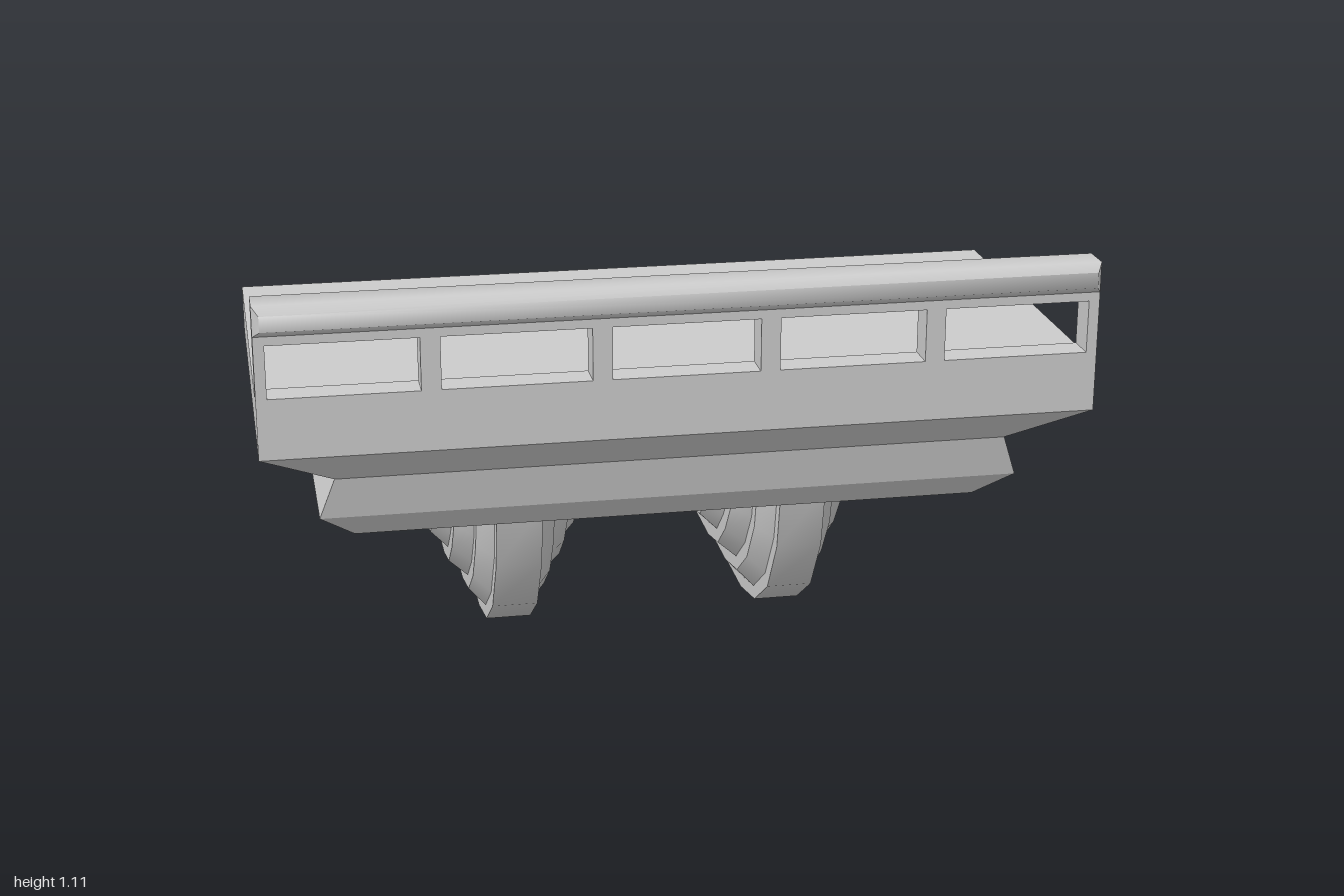
import * as THREE from 'three';
import { toCreasedNormals } from 'three/addons/utils/BufferGeometryUtils.js';

const BACK = -0.512;
const SLAB_TOP = 0.86;
const SOFFIT = 0.455;

// Joins successive rings of [x, y, z] points with quads.
function loft(rings, closed, crease) {
  const pos = [];
  const tri = (...pts) => pts.forEach((p) => pos.push(...p));
  const n = rings[0].length;
  for (let r = 0; r < rings.length - 1; r++) {
    const a = rings[r], b = rings[r + 1];
    for (let i = 0; i < (closed ? n : n - 1); i++) {
      const j = (i + 1) % n;
      tri(a[i], a[j], b[j]);
      tri(a[i], b[j], b[i]);
    }
  }
  if (closed) {
    const a = rings[0], b = rings[rings.length - 1];
    for (let i = 1; i < n - 1; i++) {
      tri(a[0], a[i + 1], a[i]);
      tri(b[0], b[i], b[i + 1]);
    }
  }
  const geo = new THREE.BufferGeometry();
  geo.setAttribute('position', new THREE.Float32BufferAttribute(pos, 3));
  geo.computeVertexNormals();
  return toCreasedNormals(geo, crease);
}

// Solid of stacked rectangles: each level is [height, half width, near z, far z].
function stackedRects(levels, crease) {
  return loft(levels.map(([y, x, z1, z0]) =>
    [[x, y, z1], [x, y, z0], [-x, y, z0], [-x, y, z1]]), true, crease);
}

// Half cross-section of a corbel: [half width, depth fraction], narrow nose to wide body.
const STEPS = [[0.19, 1], [0.147, 0.82], [0.147, 0.665], [0.1, 0.495],
  [0.1, 0.343], [0.058, 0.15], [0.058, 0]];
// Outer and inner curves of the corbel as [z, y].
const OUTER = [[0.176, SOFFIT], [0.141, 0.29], [0.041, 0.138], [-0.109, 0.038], [-0.285, 0], [BACK, 0]];
const INNER = [[-0.059, SOFFIT], [-0.085, 0.376], [-0.137, 0.322], [-0.203, 0.256], [-0.309, 0.233], [BACK, 0.233]];

// Stepped shell swept down and back to the wall, open at the back.
function corbelGeometry() {
  const rings = OUTER.map(([zo, yo], s) => {
    const [zi, yi] = INNER[s];
    const half = [[0.19, SOFFIT, zi]];
    for (const [w, t] of STEPS) half.push([w, yo + (yi - yo) * t, zo + (zi - zo) * t]);
    const mirrored = half.map(([x, y, z]) => [-x, y, z]).reverse();
    return [...half, ...mirrored];
  });
  return loft(rings, false, 0.6);
}

// Parapet panel with a row of rectangular openings.
function parapetGeometry() {
  const rect = (target, x0, x1, y0, y1) => target.moveTo(x0, y0).lineTo(x1, y0).lineTo(x1, y1).lineTo(x0, y1).closePath();
  const shape = rect(new THREE.Shape(), -1, 1, SLAB_TOP, 1.04);
  for (let i = -2; i <= 2; i++) {
    const c = i * 0.399;
    shape.holes.push(rect(new THREE.Path(), c - 0.176, c + 0.176, 0.888, 1.016));
  }
  return new THREE.ExtrudeGeometry(shape, { depth: 0.076, bevelEnabled: false }).translate(0, 0, 0.412);
}

export function createModel() {
  const model = new THREE.Group();
  model.name = 'balcony';
  const stone = new THREE.MeshStandardMaterial({ color: 0xcccccc });
  const shell = new THREE.MeshStandardMaterial({ color: 0xcccccc, side: THREE.DoubleSide });
  const add = (name, geometry, material = stone) => {
    const mesh = new THREE.Mesh(geometry, material);
    mesh.name = name;
    model.add(mesh);
    return mesh;
  };

  // Floor slab with its moulded underside
  add('floorSlab', stackedRects([
    [SOFFIT, 0.775, 0.265, BACK],
    [0.528, 0.861, 0.337, BACK],
    [0.635, 0.823, 0.358, BACK],
    [0.74, 1, 0.488, BACK],
    [SLAB_TOP, 1, 0.488, BACK],
  ], 0.1));

  add('parapet', parapetGeometry());

  // Handrail, stacked from back to front and then turned forward
  const rail = stackedRects([
    [0.39, 0.984, 0.019, -0.019],
    [0.412, 1, 0.037, -0.037],
    [0.488, 1, 0.037, -0.037],
    [0.515, 0.984, 0.019, -0.019],
  ], 1.1);
  add('handrail', rail.rotateX(Math.PI / 2).translate(0, 1.075, 0));

  // Pair of supporting corbels
  const corbel = corbelGeometry();
  add('leftCorbel', corbel, shell).position.x = 0.361;
  add('rightCorbel', corbel, shell).position.x = -0.361;

  return model;
}
